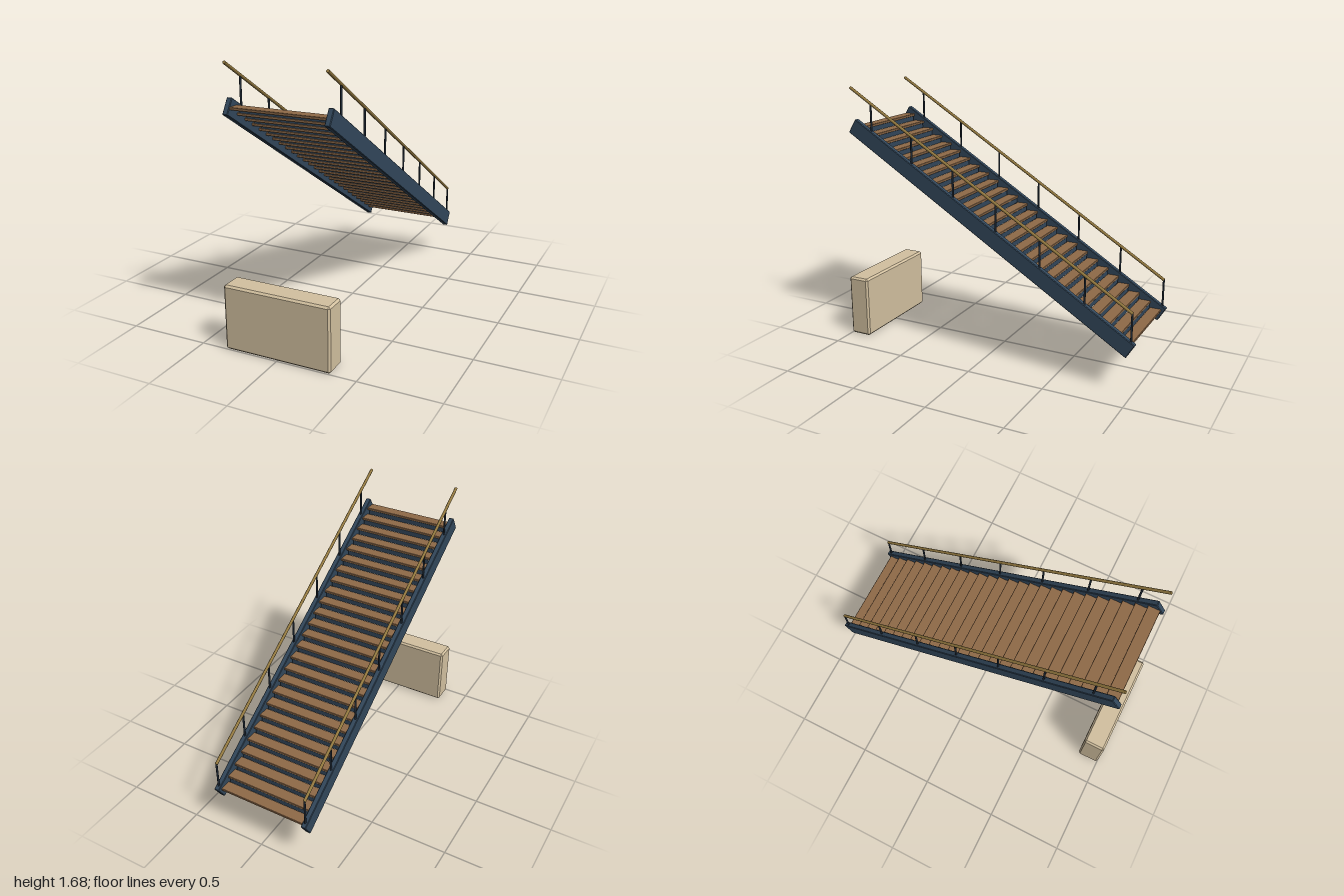
import * as THREE from 'three';
import { ConvexGeometry } from 'three/addons/geometries/ConvexGeometry.js';

const SLOPE = 0.615;                 // rise per unit of run towards +z
const PITCH = -Math.atan(SLOPE);     // rotation about x that lays a part along the flight
const STEPS = 26, RUN = 0.0729, RISE = 0.045, TREAD = 0.015;

// Box with chamfered edges, centred on the origin
function chamferBox(w, h, d, c) {
  const points = [];
  for (const sx of [-1, 1]) for (const sy of [-1, 1]) for (const sz of [-1, 1]) {
    const x = w / 2, y = h / 2, z = d / 2;
    points.push(
      new THREE.Vector3(sx * x, sy * (y - c), sz * (z - c)),
      new THREE.Vector3(sx * (x - c), sy * y, sz * (z - c)),
      new THREE.Vector3(sx * (x - c), sy * (y - c), sz * z));
  }
  return new ConvexGeometry(points);
}

export function createModel() {
  const model = new THREE.Group();
  model.name = 'staircase';

  const material = (name, color) => {
    const m = new THREE.MeshStandardMaterial({ color });
    m.name = name;
    return m;
  };
  const steel = material('blue steel', 0x32475b);
  steel.side = THREE.DoubleSide;     // the risers and pans are open sheets
  const darkSteel = material('dark steel', 0x202b37);
  const wood = material('brown wood', 0x8f6a48);
  const brass = material('brass', 0x92783f);
  const stone = material('beige stone', 0xd3c1a0);

  const add = (name, geometry, mat, x, y, z, parent = model) => {
    const mesh = new THREE.Mesh(geometry, mat);
    mesh.name = name;
    mesh.position.set(x, y, z);
    parent.add(mesh);
    return mesh;
  };

  // Stone block below the upper end
  add('footingBlock', chamferBox(0.682, 0.404, 0.143, 0.012), stone, 0, 0.202, 0.9285);

  // Treads, with a stepped sheet of risers and pans closing the underside
  const steps = new THREE.Group();
  steps.name = 'steps';
  model.add(steps);
  const treadGeo = chamferBox(0.59, TREAD, RUN + 0.002, 0.002);
  const riserGeo = new THREE.PlaneGeometry(0.56, RISE - TREAD);
  const panGeo = new THREE.PlaneGeometry(0.56, RUN).rotateX(Math.PI / 2);
  for (let i = 0; i < STEPS; i++) {
    const y = 0.2945 + i * RISE, z = -0.933 + i * RUN;
    add('tread', treadGeo, wood, 0, y, z, steps);
    if (i > 0) {
      add('riser', riserGeo, steel, 0, y - RISE / 2, z - RUN / 2, steps);
      add('pan', panGeo, steel, 0, y - TREAD / 2 - 0.001, z, steps);
    }
  }

  // Stringer, posts and handrail on each side
  const stringerGeo = chamferBox(0.034, 0.103, 2.23, 0.004);
  const postGeo = new THREE.CylinderGeometry(0.0065, 0.0065, 0.19, 8);
  const railLength = 1.91 * Math.hypot(1, SLOPE);
  const railGeo = new THREE.CylinderGeometry(0.0095, 0.0095, railLength, 12).rotateX(Math.PI / 2);
  const railY = z => 0.497 + (z + 0.975) * SLOPE;
  for (const [side, s] of [['left', 1], ['right', -1]]) {
    const x = s * 0.31;
    add(side + 'Stringer', stringerGeo, steel, x, 0.848, -0.025).rotation.x = PITCH;
    add(side + 'Handrail', railGeo, brass, x, railY(-0.02), -0.02).rotation.x = PITCH;
    for (let i = 0; i < 7; i++) {
      const z = -0.973 + i * 0.293;
      add(side + 'Post', postGeo, darkSteel, x, railY(z) - 0.095, z);
    }
  }
  return model;
}
